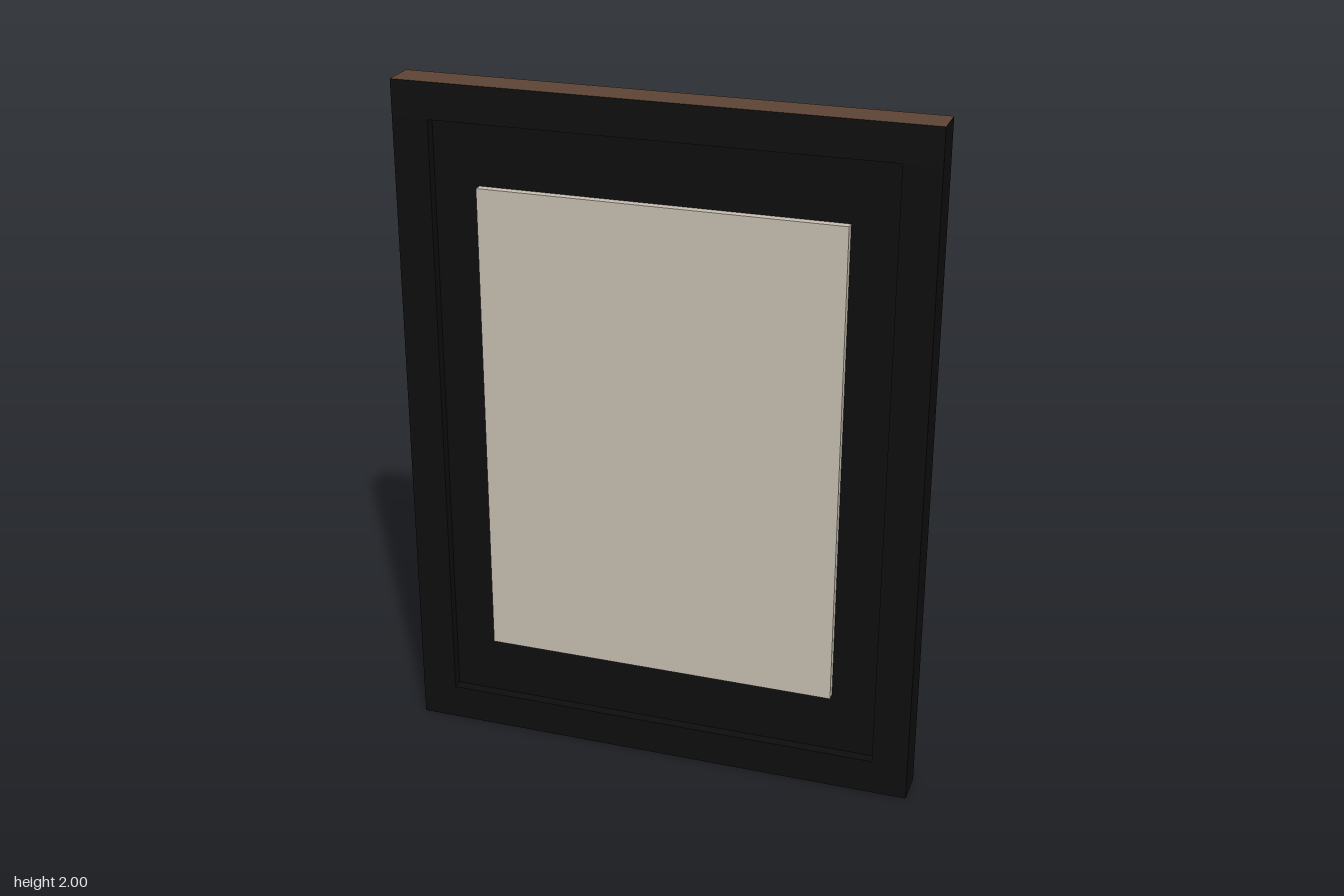
import * as THREE from 'three';

const W = 1.52, H = 2, D = 0.105, B = 0.105; // outer size, depth, moulding width

export function createModel() {
  const mat = (name, color) => {
    const m = new THREE.MeshStandardMaterial({ color });
    m.name = name;
    return m;
  };
  const black = mat('black', 0x0d0d0d);
  const brown = mat('brown wood', 0x5c4435);
  const cream = mat('cream', 0xc4bbad);

  const group = new THREE.Group();
  group.name = 'pictureFrame';
  const box = (name, w, h, d, x, y, z, material) => {
    const mesh = new THREE.Mesh(new THREE.BoxGeometry(w, h, d), material);
    mesh.name = name;
    mesh.position.set(x, y, z);
    group.add(mesh);
  };

  // Rails: black, with the outer face in bare wood
  box('topRail', W, B, D, 0, H - B / 2, 0, [black, black, brown, black, black, black]);
  box('bottomRail', W, B, D, 0, B / 2, 0, [black, black, black, brown, black, black]);

  // Stiles between the rails
  for (const [name, s] of [['leftStile', 1], ['rightStile', -1]]) {
    box(name, B, H - 2 * B, D, s * (W - B) / 2, H / 2, 0, black);
  }

  // Backing board, set in from the front and slightly from the back
  const front = 0.022, back = -0.042;
  box('backingBoard', W - 2 * B, H - 2 * B, front - back, 0, H / 2, (front + back) / 2, black);

  // Raised picture panel
  const face = 0.046;
  box('picturePanel', 1.045, 1.425, face - front, 0, 1.0, (face + front) / 2, cream);

  return group;
}
